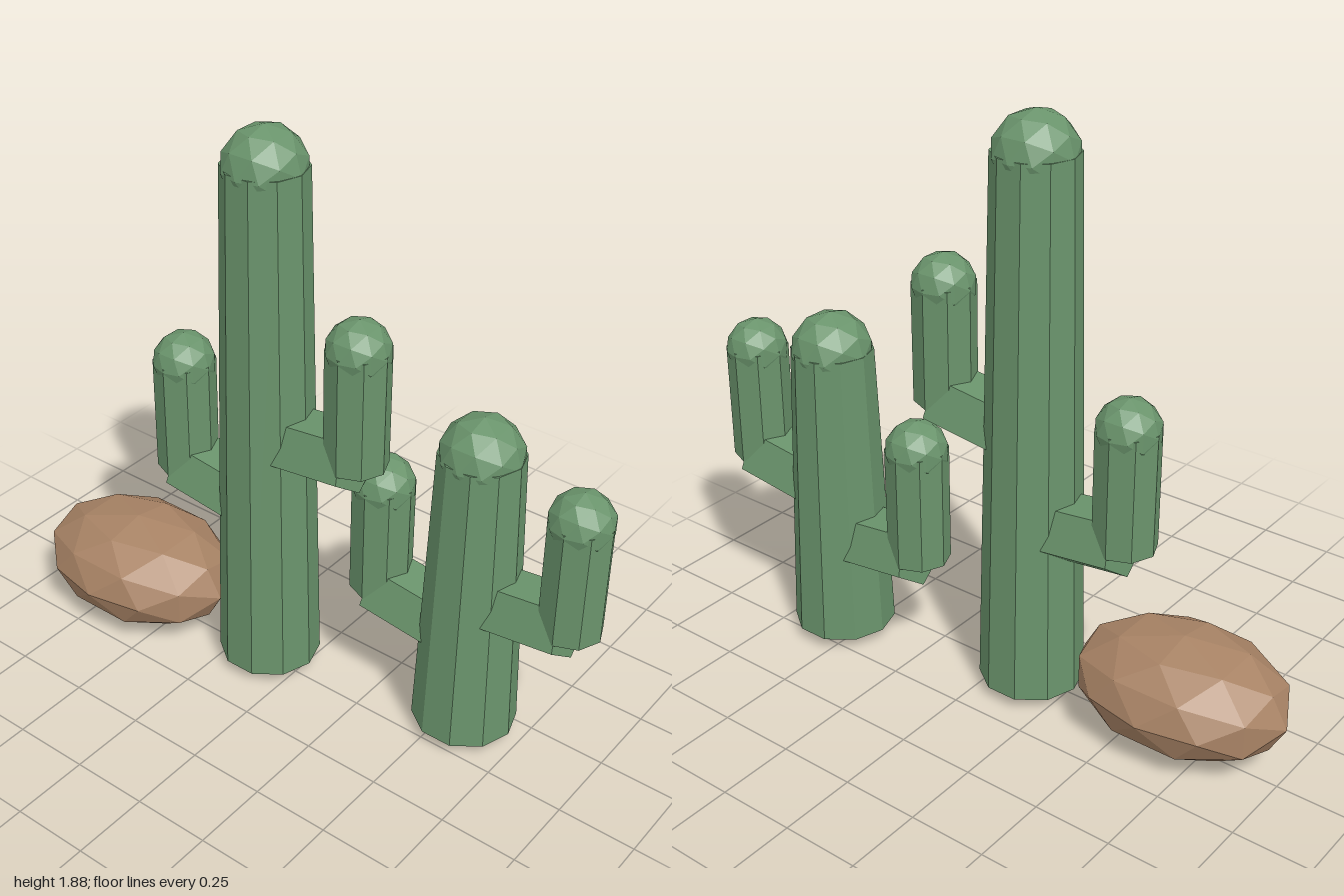
import * as THREE from 'three';

const green = new THREE.MeshStandardMaterial({ color: 0x6a946c, flatShading: true });
green.name = 'cactusGreen';
const brown = new THREE.MeshStandardMaterial({ color: 0xa88365, flatShading: true });
brown.name = 'rockBrown';

const TILT = 0.12; // elbows rise slightly outwards

function add(parent, name, geometry, material, x, y, z) {
  const mesh = new THREE.Mesh(geometry, material);
  mesh.name = name;
  mesh.position.set(x, y, z);
  parent.add(mesh);
  return mesh;
}

// Faceted ball
function ball(r) {
  return new THREE.IcosahedronGeometry(r, 1).rotateX(Math.PI / 2);
}

// Upright faceted column with a domed cap; capY is the centre of the dome
function column(parent, name, x, bottom, capY, rTop, rBottom, capR, sides) {
  const top = capY + 0.01, h = top - bottom;
  const geo = new THREE.CylinderGeometry(rTop, rBottom, h, sides).rotateY(Math.PI / 2);
  add(parent, name, geo, green, x, bottom + h / 2, 0);
  add(parent, name + 'Cap', ball(capR), green, x, capY, 0);
}

// Five-sided elbow (flat side up) and the upright arm that stands on its end
function arm(parent, name, x, bottom, capY) {
  const side = Math.sign(x), length = 0.3, r = 0.111;
  const geo = new THREE.CylinderGeometry(r, r, length, 5).rotateY(-Math.PI / 2).rotateZ(Math.PI / 2);
  const elbow = add(parent, name + 'Elbow', geo, green,
    x - side * Math.cos(TILT) * length / 2,
    bottom + 0.008 - Math.sin(TILT) * length / 2, 0);
  elbow.rotation.z = side * TILT;
  column(parent, name, x, bottom, capY, 0.099, 0.099, 0.1, 8);
}

function cactus(name, x, z, capY, arms) {
  const group = new THREE.Group();
  group.name = name;
  group.position.set(x, 0, z);
  column(group, 'trunk', 0, 0.04, capY, 0.13, 0.165, 0.13, 10);
  for (const [armName, ax, bottom, armCap] of arms) arm(group, armName, ax, bottom, armCap);
  return group;
}

export function createModel() {
  const model = new THREE.Group();
  model.name = 'desertCacti';

  model.add(cactus('tallCactus', -0.125, -0.022, 1.745, [
    ['leftArm', 0.335, 0.90, 1.28],
    ['rightArm', -0.333, 0.625, 1.005],
  ]));
  model.add(cactus('shortCactus', 0.563, -0.143, 1.008, [
    ['leftArm', 0.333, 0.548, 0.925],
    ['rightArm', -0.335, 0.39, 0.767],
  ]));

  // Flattened boulder
  const rock = add(model, 'rock', ball(1), brown, -0.645, 0.18, 0.033);
  rock.scale.set(0.355, 0.18, 0.258);

  return model;
}
